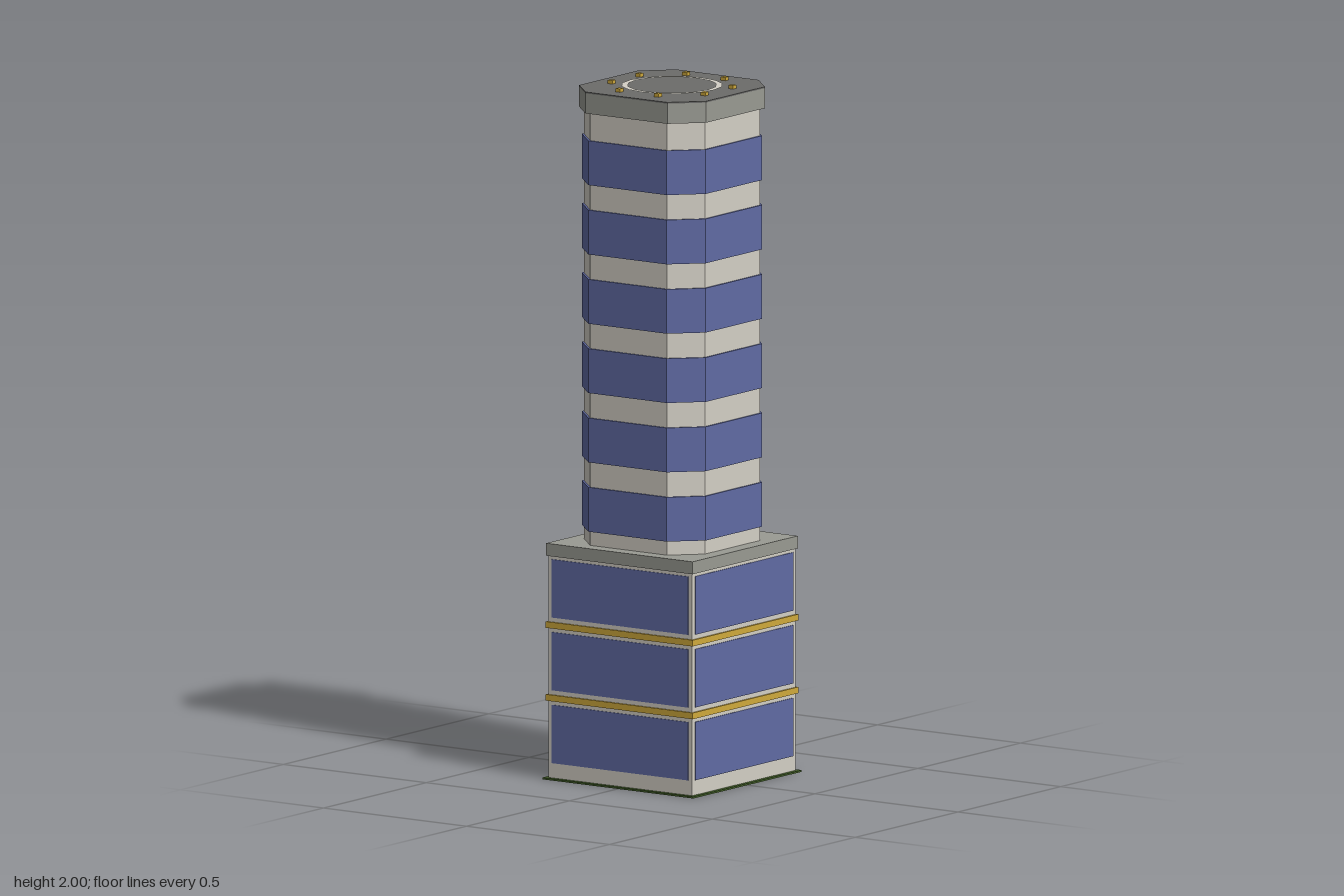
import * as THREE from 'three';

const mat = (name, color) => {
  const m = new THREE.MeshStandardMaterial({ color });
  m.name = name;
  return m;
};

export function createModel() {
  const stone = mat('pale stone', 0xd4d0c6);
  const glass = mat('blue glass', 0x616ba4);
  const concrete = mat('grey concrete', 0x9a9b93);
  const asphalt = mat('dark deck', 0x6c6c6a);
  const gold = mat('gold trim', 0xd0aa3c);
  const grass = mat('dark green', 0x425e28);

  const model = new THREE.Group();
  model.name = 'tower';

  const add = (parent, name, geometry, material, x = 0, y = 0, z = 0) => {
    const mesh = new THREE.Mesh(geometry, material);
    mesh.name = name;
    mesh.position.set(x, y, z);
    parent.add(mesh);
    return mesh;
  };
  const group = (name) => {
    const g = new THREE.Group();
    g.name = name;
    model.add(g);
    return g;
  };
  // Box given by its bottom and top heights
  const block = (parent, name, material, w, y0, y1, d, x = 0, z = 0) =>
    add(parent, name, new THREE.BoxGeometry(w, y1 - y0, d), material, x, (y0 + y1) / 2, z);
  // Square prism with cut corners: h = half width, f = half length of the flat side
  const octagon = (parent, name, material, h, f, y0, y1) => {
    const pts = [[h, -f], [h, f], [f, h], [-f, h], [-h, f], [-h, -f], [-f, -h], [f, -h]];
    const shape = new THREE.Shape(pts.map(([x, y]) => new THREE.Vector2(x, y)));
    const geo = new THREE.ExtrudeGeometry(shape, { depth: y1 - y0, bevelEnabled: false });
    return add(parent, name, geo.rotateX(-Math.PI / 2), material, 0, y0, 0);
  };

  // Ground plate and podium
  const podium = group('podium');
  block(podium, 'groundPlate', grass, 0.528, 0, 0.005, 0.528);
  block(podium, 'podiumWalls', stone, 0.503, 0.003, 0.65, 0.503);
  block(podium, 'podiumCornice', concrete, 0.512, 0.645, 0.681, 0.512);
  for (let i = 0; i < 2; i++) {
    const y = 0.236 + i * 0.21;
    block(podium, 'goldBand', gold, 0.514, y - 0.009, y + 0.009, 0.514);
  }

  // Three glazed storeys on each of the four sides
  for (let side = 0; side < 4; side++) {
    const face = new THREE.Group();
    face.name = 'podiumWindows';
    face.rotation.y = side * Math.PI / 2;
    podium.add(face);
    for (let i = 0; i < 3; i++) {
      const y = 0.048 + i * 0.21;
      block(face, 'podiumWindow', glass, 0.478, y, y + 0.168, 0.006, 0, 0.251);
    }
  }

  // Entrance on the left side: two posts under a thin canopy
  const entrance = group('entrance');
  block(entrance, 'canopy', glass, 0.014, 0.138, 0.147, 0.198, 0.256);
  for (const s of [-1, 1]) {
    block(entrance, 'entrancePost', concrete, 0.01, 0, 0.138, 0.01, 0.256, s * 0.091);
  }

  // Shaft with six glazed bands
  const shaft = group('shaft');
  octagon(shaft, 'shaftWalls', stone, 0.2115, 0.134, 0.68, 1.93);
  for (let i = 0; i < 6; i++) {
    const y = 0.721 + i * 0.2;
    octagon(shaft, 'windowBand', glass, 0.2165, 0.137, y, y + 0.128);
  }

  // Crown and landing deck
  const roof = group('roof');
  octagon(roof, 'crown', concrete, 0.222, 0.143, 1.928, 1.986);
  octagon(roof, 'landingDeck', asphalt, 0.222, 0.143, 1.986, 1.99);
  const ring = new THREE.RingGeometry(0.127, 0.145, 16).rotateX(-Math.PI / 2);
  add(roof, 'landingRing', ring, stone, 0, 1.993, 0);

  // Eight deck lights
  for (let i = 0; i < 8; i++) {
    const a = (i + 0.5) * Math.PI / 4;
    block(roof, 'deckLight', gold, 0.016, 1.988, 2, 0.016, 0.176 * Math.cos(a), 0.176 * Math.sin(a));
  }

  return model;
}
